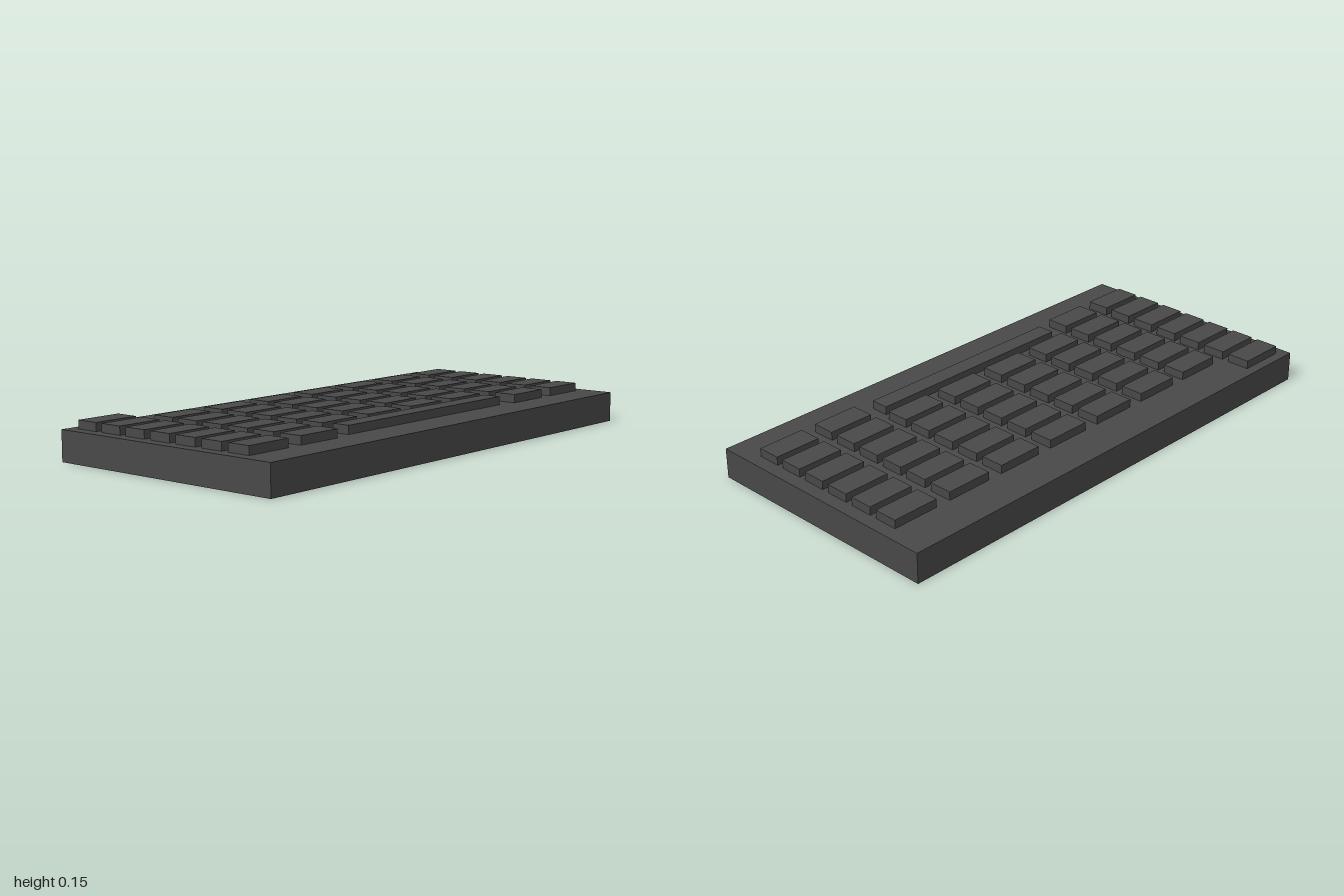
import * as THREE from 'three';

export function createModel() {
  const model = new THREE.Group();
  model.name = 'keyboard';
  const charcoal = new THREE.MeshStandardMaterial({ color: 0x484848 });
  charcoal.name = 'charcoal';

  const baseTop = 0.115, keyHeight = 0.032;

  function box(name, w, h, d, x, bottom, z) {
    const mesh = new THREE.Mesh(new THREE.BoxGeometry(w, h, d), charcoal);
    mesh.name = name;
    mesh.position.set(x, bottom + h / 2, z);
    model.add(mesh);
  }

  // Case
  box('case', 2, baseTop, 0.98, 0, 0, 0);

  // Columns used in each row, from back to front
  const all = [0, 1, 2, 3, 4, 5, 6, 7];
  const rows = [[0], all, all, all, all, all, [0, 1, 6, 7]];
  rows.forEach((columns, row) => {
    for (const column of columns) {
      box(`key_${row}_${column}`, 0.185, keyHeight, 0.091,
        -0.864 + column * 0.2457, baseTop, -0.406 + row * 0.1197);
    }
  });

  // Long bar in the front row
  box('spaceBar', 0.89, keyHeight, 0.07, -0.005, baseTop, 0.307);

  return model;
}
